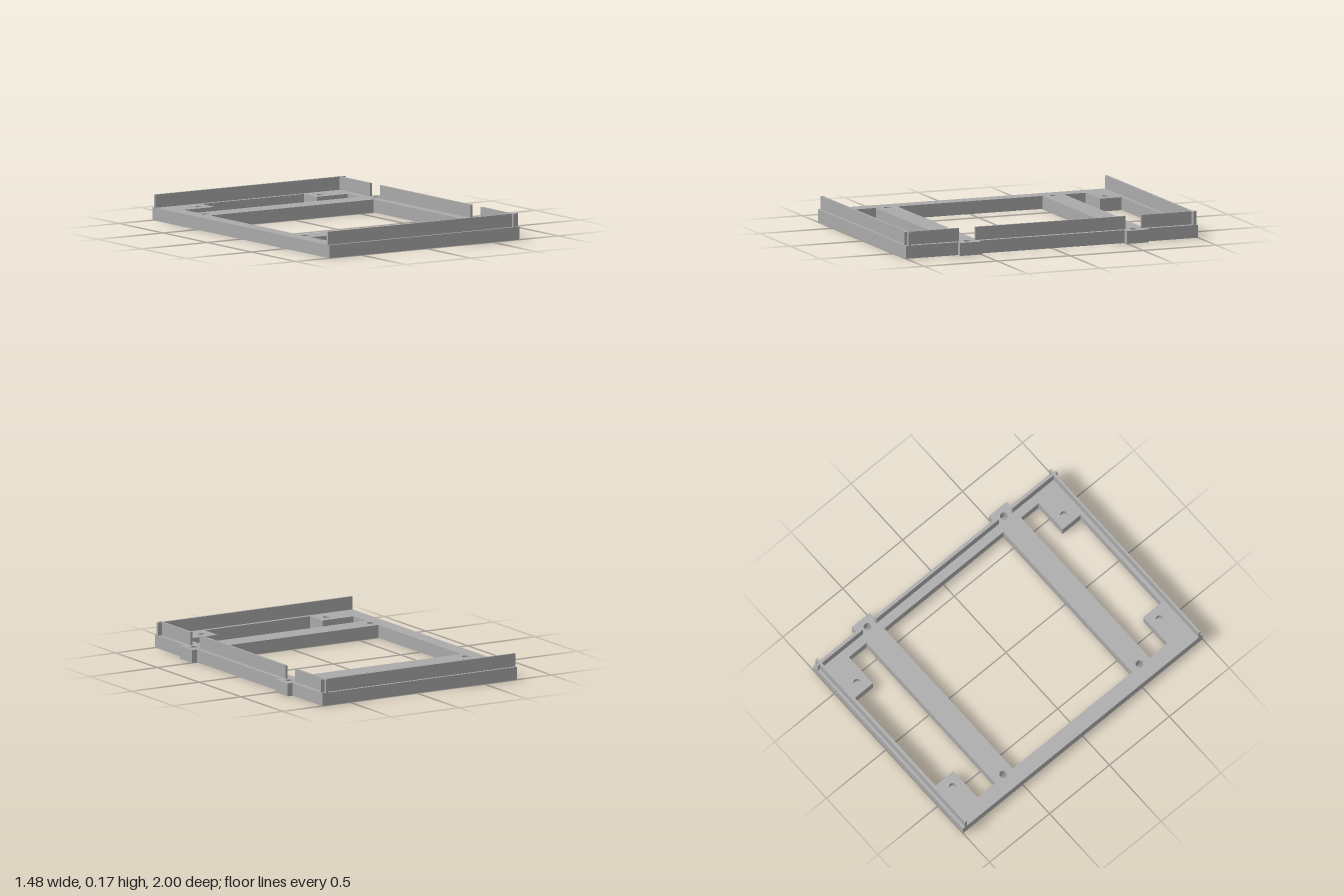
import * as THREE from 'three';

const BASE_H = 0.083, TOP = 0.167;
const LEFT = -0.743, RIGHT = 0.705, TAB = 0.742;

const polygon = (pts, Type) => new Type(pts.map(([x, y]) => new THREE.Vector2(x, y)));

export function createModel() {
  const group = new THREE.Group();
  const grey = new THREE.MeshStandardMaterial({ color: 0xaaaaaa });
  grey.name = 'plain grey';

  const add = (geometry, name) => {
    const mesh = new THREE.Mesh(geometry, grey);
    mesh.name = name;
    group.add(mesh);
    return mesh;
  };

  // Base frame outline with two mounting tabs on one long side
  const outline = polygon([
    [LEFT, -1], [RIGHT, -1],
    [RIGHT, -0.645], [TAB, -0.645], [TAB, -0.497], [RIGHT, -0.497],
    [RIGHT, 0.497], [TAB, 0.497], [TAB, 0.645], [RIGHT, 0.645],
    [RIGHT, 1], [LEFT, 1],
  ], THREE.Shape);

  const addHole = (x, y, r) => {
    const hole = new THREE.Path();
    hole.absarc(x, y, r, 0, Math.PI * 2, true);
    outline.holes.push(hole);
  };

  // Central opening
  outline.holes.push(polygon(
    [[-0.643, -0.497], [-0.643, 0.497], [0.602, 0.497], [0.602, -0.497]], THREE.Path));

  for (const s of [-1, 1]) {
    // T-shaped end opening, leaving two corner blocks
    outline.holes.push(polygon([
      [-0.643, s * 0.645], [-0.643, s * 0.792], [-0.41, s * 0.792], [-0.41, s * 0.942],
      [0.37, s * 0.942], [0.37, s * 0.792], [0.602, s * 0.792], [0.602, s * 0.645],
    ], THREE.Path));
    // Through holes in the crossbars
    for (const x of [-0.632, 0.68]) addHole(x, s * 0.569, 0.025);
    // Blind holes in the corner blocks, closed below by plugs
    for (const x of [-0.484, 0.441]) {
      addHole(x, s * 0.863, 0.023);
      const floor = add(new THREE.CylinderGeometry(0.023, 0.023, 0.04, 24), 'blindHoleFloor');
      floor.position.set(x, 0.02, s * 0.863);
    }
  }

  const base = new THREE.ExtrudeGeometry(outline, { depth: BASE_H, bevelEnabled: false, curveSegments: 12 });
  base.rotateX(-Math.PI / 2);
  add(base, 'baseFrame');

  // Thin upright walls standing on the frame
  const addWall = (name, x0, x1, z0, z1) => {
    const wall = add(new THREE.BoxGeometry(x1 - x0, TOP - BASE_H, Math.abs(z1 - z0)), name);
    wall.position.set((x0 + x1) / 2, (TOP + BASE_H) / 2, (z0 + z1) / 2);
  };
  const X0 = 0.661, X1 = 0.676;
  addWall('middleSideWall', X0, X1, -0.513, 0.513);
  for (const s of [-1, 1]) {
    addWall('endWall', LEFT, RIGHT, s * 0.967, s * 0.982);
    addWall('cornerSideWall', X0, X1, s * 0.625, s * 0.967);
    addWall('cornerStub', X0, X1, s * 0.982, s * 1);
  }

  return group;
}
